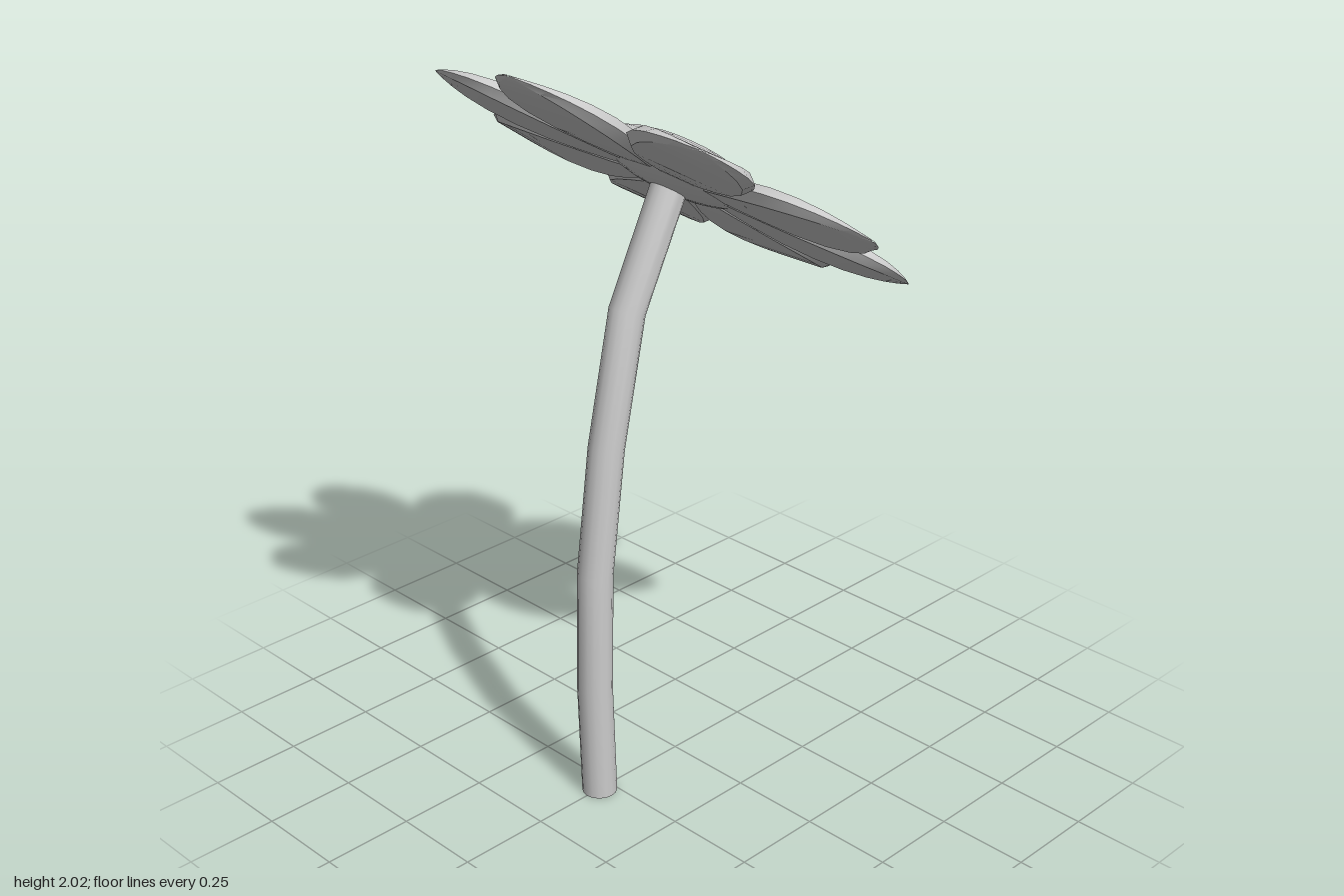
import * as THREE from 'three';
import { toCreasedNormals } from 'three/addons/utils/BufferGeometryUtils.js';

const material = new THREE.MeshStandardMaterial({ color: 0xcccccc });

function part(name, geometry) {
  const mesh = new THREE.Mesh(geometry, material);
  mesh.name = name;
  return mesh;
}

// Bent stem: rings of a cylinder are moved onto a list of path points
function stemGeometry() {
  const path = [[-0.287, 0], [-0.298, 0.33], [-0.29, 0.66], [-0.245, 1.0], [-0.168, 1.35], [-0.01, 1.66]];
  const last = path.length - 1;
  const geometry = new THREE.CylinderGeometry(0.047, 0.047, last, 16, last);
  const pos = geometry.attributes.position;
  for (let i = 0; i < pos.count; i++) {
    const k = Math.round(pos.getY(i) + last / 2);
    const a = path[Math.max(k - 1, 0)], b = path[Math.min(k + 1, last)];
    const lean = k === 0 ? 0 : Math.atan2(b[0] - a[0], b[1] - a[1]);
    const x = pos.getX(i);
    pos.setXYZ(i, path[k][0] + x * Math.cos(lean), path[k][1] - x * Math.sin(lean), pos.getZ(i));
  }
  return toCreasedNormals(geometry.toNonIndexed(), 0.8);
}

// Petal along +x: flat faces with bevelled sides, thinning to the tip
function petalGeometry() {
  // distance from the flower centre, half width, half thickness
  const stations = [
    [0.11, 0.045, 0.012], [0.17, 0.08, 0.017], [0.24, 0.115, 0.021], [0.32, 0.144, 0.024],
    [0.41, 0.159, 0.024], [0.49, 0.151, 0.021], [0.55, 0.126, 0.016], [0.59, 0.091, 0.011],
    [0.618, 0.054, 0.006], [0.637, 0.004, 0.001],
  ];
  const vertices = [], index = [], n = 6;
  stations.forEach(([r, w, h], i) => {
    const inner = Math.max(w - 0.022, w * 0.6);
    const loop = [[0, -w], [h, -inner], [h, inner], [0, w], [-h, inner], [-h, -inner]];
    loop.forEach(([y, z]) => vertices.push(r, y, z));
    if (i === 0) return;
    for (let j = 0; j < n; j++) {
      const k = (j + 1) % n, p = (i - 1) * n, q = i * n;
      index.push(p + j, p + k, q + j, p + k, q + k, q + j);
    }
  });
  const geometry = new THREE.BufferGeometry();
  geometry.setAttribute('position', new THREE.Float32BufferAttribute(vertices, 3));
  geometry.setIndex(index);
  return toCreasedNormals(geometry, 0.5);
}

export function createModel() {
  const flower = new THREE.Group();
  flower.name = 'flower';
  flower.add(part('stem', stemGeometry()));

  // Tilted flower head
  const head = new THREE.Group();
  head.name = 'flowerHead';
  head.position.set(-0.003, 1.655, 0);
  head.rotation.z = -0.604;
  flower.add(head);

  const centre = part('flowerCentre', new THREE.SphereGeometry(0.207, 16, 12));
  centre.scale.y = 0.32;
  centre.position.y = 0.03;
  head.add(centre);

  // Ring of eight petals
  const petalShape = petalGeometry();
  for (let i = 0; i < 8; i++) {
    const petal = part('petal' + (i + 1), petalShape);
    petal.rotation.y = (i * Math.PI) / 4;
    head.add(petal);
  }
  return flower;
}
